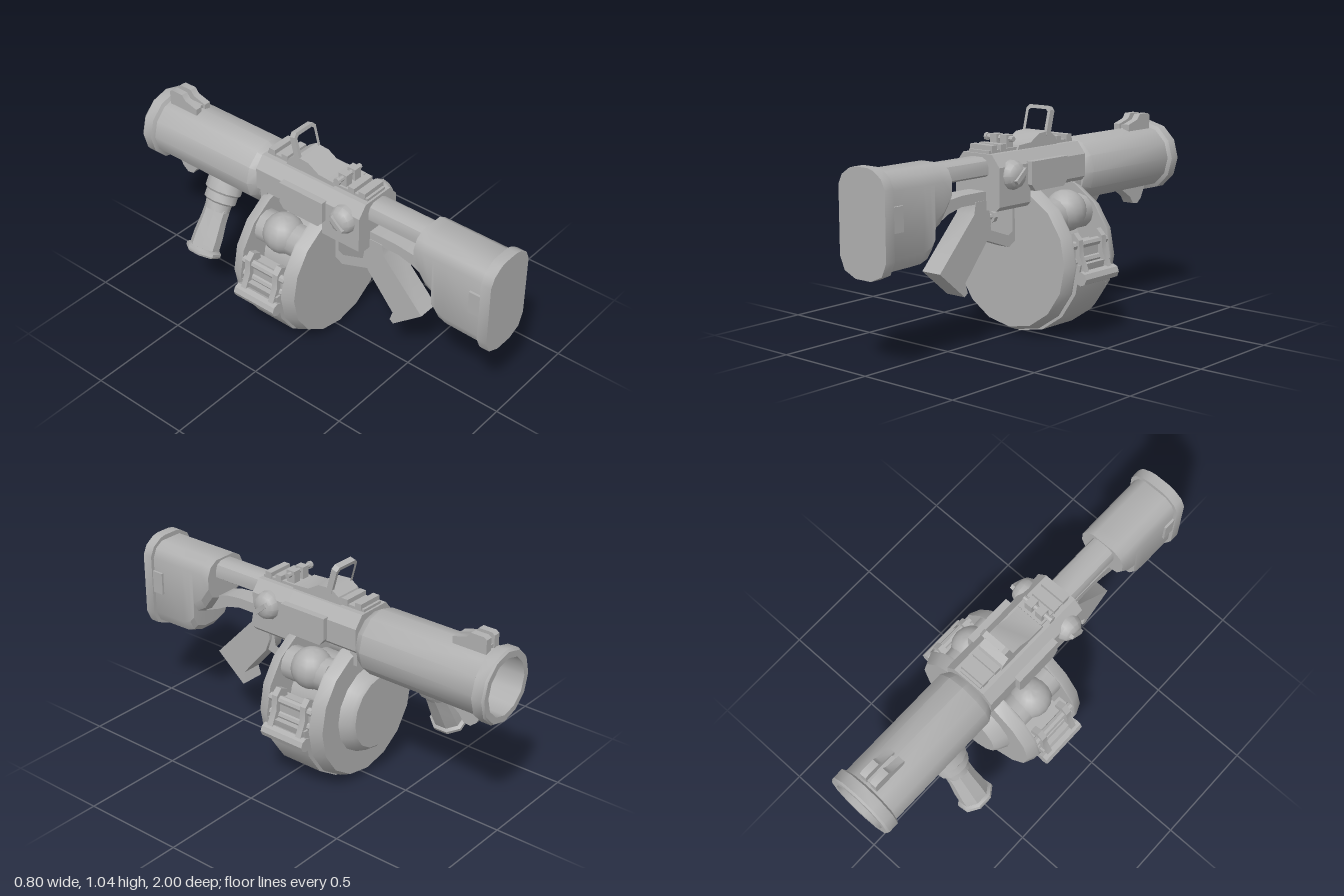
import * as THREE from 'three';
import { toCreasedNormals } from 'three/addons/utils/BufferGeometryUtils.js';

const metal = new THREE.MeshStandardMaterial({ color: 0xb0b0b0 });
metal.name = 'plain grey';

export function createModel() {
  const model = new THREE.Group();
  model.name = 'drumLauncher';

  const add = (name, geometry, x = 0, y = 0, z = 0, parent = model) => {
    const mesh = new THREE.Mesh(toCreasedNormals(geometry, 0.62), metal);
    mesh.name = name;
    mesh.position.set(x, y, z);
    parent.add(mesh);
    return mesh;
  };
  const box = (name, w, h, d, x, y, z, parent) => add(name, new THREE.BoxGeometry(w, h, d), x, y, z, parent);
  const shapeOf = (pts) => new THREE.Shape(pts.map(([a, b]) => new THREE.Vector2(a, b)));
  // side profile of [z, y] points, given a width along x
  const side = (pts, width, hole) => {
    const shape = shapeOf(pts);
    if (hole) shape.holes.push(shapeOf(hole));
    return new THREE.ExtrudeGeometry(shape, { depth: width, bevelEnabled: false })
      .translate(0, 0, -width / 2).rotateY(-Math.PI / 2);
  };
  // cross-section of [x, y] points, run from z0 to z1
  const along = (pts, z0, z1) =>
    new THREE.ExtrudeGeometry(shapeOf(pts), { depth: z1 - z0, bevelEnabled: false }).translate(0, 0, z0);
  // profile of [radius, z] points turned about z
  const turned = (pts, sides) =>
    new THREE.LatheGeometry(pts.map(([r, z]) => new THREE.Vector2(r, z)), sides).rotateX(Math.PI / 2);
  const mirrored = (half) => [...half, ...half.map(([x, y]) => [-x, y]).reverse()];

  // hollow barrel with muzzle ring
  add('barrel', turned([[0, -0.4], [0.13, -0.4], [0.135, -1], [0.165, -1], [0.173, -0.99], [0.173, -0.94],
    [0.155, -0.93], [0.155, -0.34], [0.13, -0.3], [0, -0.3]], 12), 0, 0.72);

  // front sight blades and lug under the muzzle
  for (const s of [-1, 1]) {
    add('frontSight', side([[-0.92, 0.85], [-0.92, 0.93], [-0.905, 0.94], [-0.84, 0.94], [-0.82, 0.915],
      [-0.75, 0.895], [-0.75, 0.85]], 0.034), s * 0.029);
  }
  box('frontSightBase', 0.09, 0.04, 0.15, 0, 0.87, -0.84);
  add('muzzleLug', side([[-0.72, 0.575], [-0.79, 0.53], [-0.815, 0.495], [-0.85, 0.49], [-0.88, 0.515],
    [-0.91, 0.575]], 0.06));

  // fore grip leaning outward from the barrel
  const foreGrip = new THREE.Group();
  foreGrip.name = 'foreGrip';
  foreGrip.position.set(0, 0.72, -0.55);
  foreGrip.rotation.z = -Math.PI / 6;
  model.add(foreGrip);
  const gripPart = (name, pts, sides) =>
    add(name, new THREE.LatheGeometry(pts.map(([r, y]) => new THREE.Vector2(r, y)), sides)
      .rotateY(Math.PI / sides).scale(0.9, 1, 1.05), 0, 0, 0, foreGrip);
  gripPart('gripCollar', [[0, -0.29], [0.062, -0.29], [0.066, -0.25], [0.08, -0.24], [0.08, -0.2],
    [0.09, -0.19], [0.09, -0.12], [0, -0.12]], 12);
  gripPart('gripHandle', [[0, -0.5], [0.074, -0.5], [0.072, -0.42], [0.064, -0.34], [0.062, -0.27], [0, -0.27]], 8);
  gripPart('gripFoot', [[0, -0.515], [0.08, -0.515], [0.088, -0.505], [0.088, -0.49], [0.074, -0.48], [0, -0.48]], 8);

  // receiver
  const section = (w, bottom) => mirrored([[0.085, 0.865], [w, 0.81], [w, bottom + 0.02], [w - 0.02, bottom]]);
  add('receiverRear', along(section(0.13, 0.615), 0.09, 0.3));
  add('receiverFront', along(section(0.13, 0.685), -0.3, 0.09));
  box('receiverNose', 0.22, 0.1, 0.04, 0, 0.67, -0.275);
  for (const s of [-1, 1]) {
    add('sidePlate', side([[0.11, 0.715], [0.085, 0.685], [-0.115, 0.685], [-0.14, 0.715], [-0.14, 0.82],
      [0.11, 0.82]], 0.05), s * 0.13);
    // slotted side knobs
    const knob = new THREE.Group();
    knob.name = 'sideKnob';
    knob.position.set(s * 0.11, 0.77, 0.21);
    knob.rotation.y = s * Math.PI / 2;
    model.add(knob);
    add('knobDome', turned([[0, -0.01], [0.067, -0.01], [0.067, 0.025], [0.055, 0.05], [0.035, 0.064], [0, 0.066]], 12),
      0, 0, 0, knob);
    box('knobBar', 0.085, 0.022, 0.03, 0, 0, 0.061, knob).rotation.z = s * 0.7;
  }

  // top rail with teeth
  box('topRail', 0.12, 0.02, 0.58, 0, 0.868, 0);
  for (const z of [0.26, 0.2, -0.185, -0.26]) box('railTooth', 0.13, 0.03, 0.035, 0, 0.885, z);

  // rear sight: wedge base, leaning frame and cross bolt
  add('sightBase', side([[0.11, 0.86], [0.1, 0.885], [0.02, 0.89], [-0.04, 0.925], [-0.11, 0.93], [-0.155, 0.9],
    [-0.17, 0.86]], 0.14));
  const frame = shapeOf(mirrored([[0.055, 0.135], [0.072, 0.118], [0.072, 0]]));
  frame.holes.push(shapeOf(mirrored([[0.045, 0.118], [0.056, 0.108], [0.056, 0.015]])));
  add('sightFrame', new THREE.ExtrudeGeometry(frame, { depth: 0.03, bevelEnabled: false }), 0, 0.905, -0.115)
    .rotation.x = -0.26;
  const bolt = (name, r, len, x) =>
    add(name, new THREE.CylinderGeometry(r, r, len, 8).rotateZ(Math.PI / 2), x, 0.917, 0.14);
  bolt('crossBolt', 0.013, 0.15, -0.003);
  bolt('boltHead', 0.018, 0.014, -0.085);
  for (const x of [-0.03, 0.03]) box('boltLug', 0.04, 0.07, 0.045, x, 0.9, 0.14);

  // bar joining receiver and stock
  add('stockBar', along(mirrored([[0.03, 0.85], [0.055, 0.835], [0.065, 0.81], [0.065, 0.775], [0.05, 0.765]]), 0.28, 0.62));

  // stock, lofted through stations of [z, bottom height]
  const stations = [[0.59, 0.66], [0.64, 0.59], [0.69, 0.56], [0.695, 0.48], [0.72, 0.45], [0.76, 0.435], [0.96, 0.43]];
  const pos = [], index = [];
  for (const [z, low] of stations) {
    for (const [x, y] of mirrored([[0.06, 0.86], [0.1, 0.835], [0.12, 0.79], [0.12, low + 0.07], [0.095, low + 0.02],
      [0.04, low]])) pos.push(x, y, z);
  }
  const n = 12;
  for (let i = 0; i < stations.length - 1; i++) {
    for (let j = 0; j < n; j++) {
      const a = i * n + j, b = i * n + (j + 1) % n;
      index.push(a, a + n, b, b, a + n, b + n);
    }
  }
  for (let j = 1; j < n - 1; j++) index.push(0, j, j + 1);
  const stock = new THREE.BufferGeometry();
  stock.setAttribute('position', new THREE.Float32BufferAttribute(pos, 3));
  stock.setIndex(index);
  add('stock', stock);
  add('buttPad', along(mirrored([[0.04, 0.883], [0.07, 0.875], [0.115, 0.845], [0.137, 0.8], [0.137, 0.5],
    [0.11, 0.44], [0.045, 0.412]]), 0.95, 1));
  box('padTongue', 0.262, 0.11, 0.07, 0, 0.67, 0.925);

  // pistol grip, its link to the stock, and the trigger guard
  add('gripLink', side([[0.69, 0.565], [0.6, 0.67], [0.54, 0.69], [0.45, 0.7], [0.28, 0.7], [0.28, 0.65],
    [0.46, 0.65], [0.54, 0.63], [0.6, 0.6]], 0.1));
  add('pistolGrip', side([[0.37, 0.66], [0.38, 0.605], [0.6, 0.375], [0.445, 0.247], [0.425, 0.262], [0.44, 0.31],
    [0.295, 0.48], [0.27, 0.55], [0.29, 0.66]], 0.106));
  add('triggerGuard', side([[0.3, 0.63], [0.3, 0.48], [0.13, 0.42], [0.085, 0.445], [0.085, 0.63]], 0.07,
    [[0.265, 0.615], [0.25, 0.515], [0.135, 0.475], [0.107, 0.49], [0.107, 0.615]]));
  add('trigger', new THREE.CylinderGeometry(0.014, 0.014, 0.06, 8).rotateX(Math.PI / 2), 0, 0.568, 0.24);
  add('triggerHead', new THREE.CylinderGeometry(0.028, 0.028, 0.02, 8).rotateX(Math.PI / 2), 0, 0.568, 0.207);

  // drum: end plates, core and solid lower shell
  const drumY = 0.361;
  add('drumFrontPlate', turned([[0, 0.03], [0.348, 0.03], [0.348, 0.04], [0.326, 0.09], [0, 0.09]], 16), 0, drumY);
  add('drumRearPlate', turned([[0, -0.34], [0.175, -0.34], [0.19, -0.325], [0.215, -0.275], [0.326, -0.275],
    [0.348, -0.225], [0.348, -0.215], [0, -0.215]], 16), 0, drumY);
  add('drumCore', turned([[0, -0.22], [0.19, -0.22], [0.19, 0.035], [0, 0.035]], 16), 0, drumY);
  const lower = [];
  for (let i = 0; i <= 8; i++) {
    const a = Math.PI + i * Math.PI / 8;
    lower.push([0.358 * Math.cos(a), 0.358 * Math.sin(a)]);
  }
  add('drumShell', along(lower, -0.2, 0.015), 0, drumY);

  // rounds showing in the open top, and the side latches with handles
  for (const s of [-1, 1]) {
    add('round', turned([[0, -0.21], [0.08, -0.21], [0.08, 0.03], [0, 0.03]], 12), s * 0.17, 0.56);
    add('roundTip', new THREE.SphereGeometry(0.097, 16, 12), s * 0.18, 0.575, -0.095);
    box('latchBody', 0.07, 0.09, 0.235, s * 0.285, 0.405, -0.092);
    for (const y of [0.37, 0.445]) {
      add('latchRod', new THREE.CylinderGeometry(0.02, 0.02, 0.25, 8).rotateX(Math.PI / 2), s * 0.315, y, -0.092);
    }
    for (const z of [-0.175, -0.01]) {
      add('latchStrap', along([[0.26, 0.33], [0.37, 0.28], [0.385, 0.31], [0.345, 0.4], [0.34, 0.47],
        [0.31, 0.5], [0.27, 0.48]].map(([x, y]) => [s * x, y]), z - 0.015, z + 0.015));
    }
    add('latchHandle', new THREE.CylinderGeometry(0.033, 0.033, 0.24, 8).rotateX(Math.PI / 2), s * 0.366, 0.302, -0.095);
  }
  return model;
}
